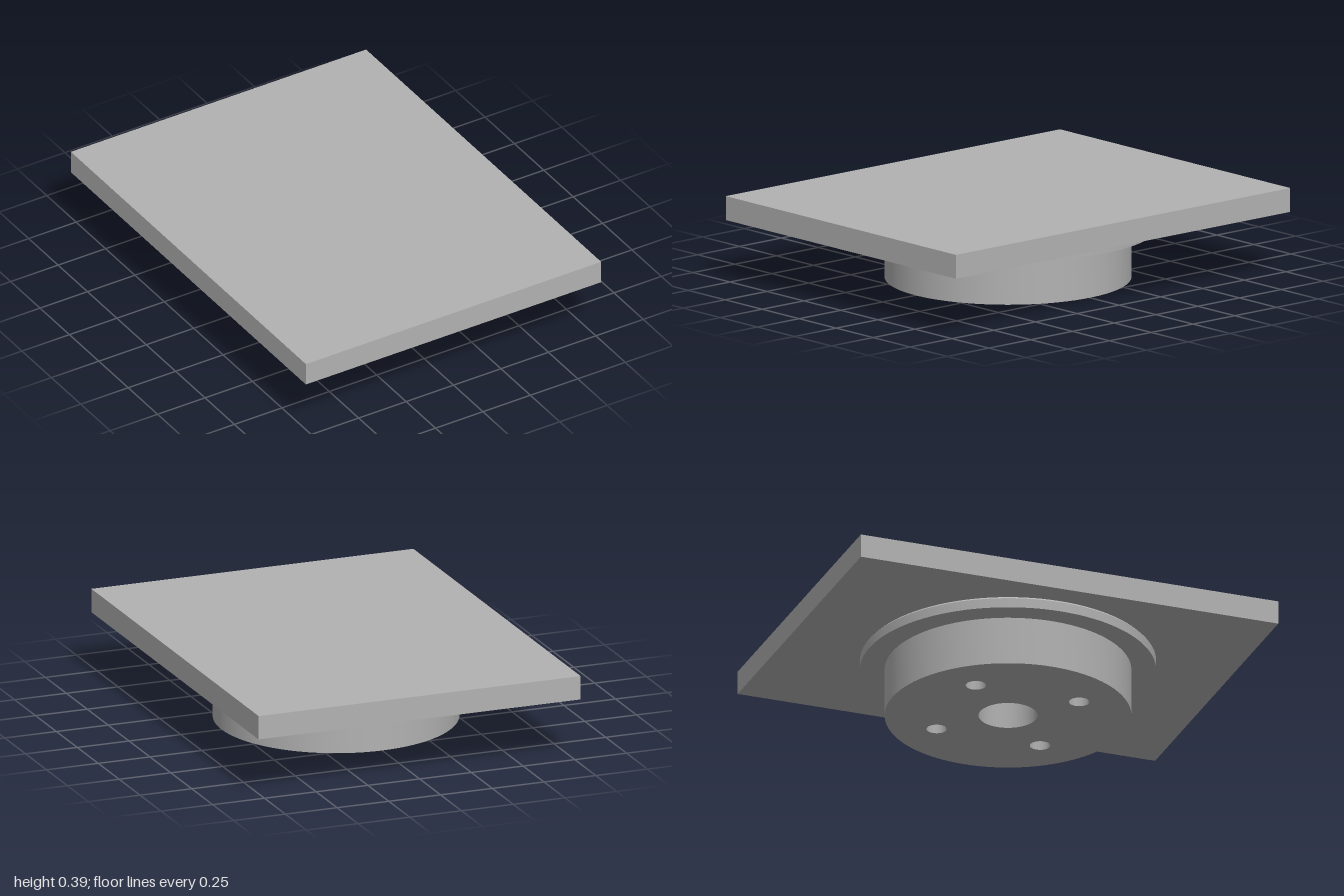
import * as THREE from 'three';
import { toCreasedNormals } from 'three/addons/utils/BufferGeometryUtils.js';

const HUB_R = 0.553, PLATE_Y = 0.28, PLATE_H = 0.11;

function circlePath(x, y, r) {
  return new THREE.Path().absarc(x, y, r, 0, Math.PI * 2, true);
}

export function createModel() {
  const model = new THREE.Group();
  const metal = new THREE.MeshStandardMaterial({ color: 0xb2b2b2 });
  metal.name = 'grey metal';

  const add = (name, geometry) => {
    const mesh = new THREE.Mesh(geometry, metal);
    mesh.name = name;
    model.add(mesh);
    return mesh;
  };

  // Rectangular top plate
  add('topPlate', new THREE.BoxGeometry(1.556, PLATE_H, 2)).position.y = PLATE_Y + PLATE_H / 2;

  // Round hub with a centre bore and four bolt holes on the diagonals
  const disc = new THREE.Shape().absarc(0, 0, HUB_R, 0, Math.PI * 2, false);
  disc.holes.push(circlePath(0, 0, 0.132));
  for (let i = 0; i < 4; i++) {
    const a = Math.PI / 4 + i * Math.PI / 2;
    disc.holes.push(circlePath(0.35 * Math.cos(a), 0.35 * Math.sin(a), 0.046));
  }
  const hub = new THREE.ExtrudeGeometry(disc, { depth: PLATE_Y, bevelEnabled: false, curveSegments: 64 });
  hub.rotateX(-Math.PI / 2);
  add('hub', toCreasedNormals(hub, 0.5));

  // Flange ring with a chamfered upper rim
  const profile = [[HUB_R - 0.005, 0.225], [0.664, 0.225], [0.664, 0.27], [0.654, PLATE_Y]]
    .map(([r, y]) => new THREE.Vector2(r, y));
  add('flange', toCreasedNormals(new THREE.LatheGeometry(profile, 96), 0.5));

  return model;
}
